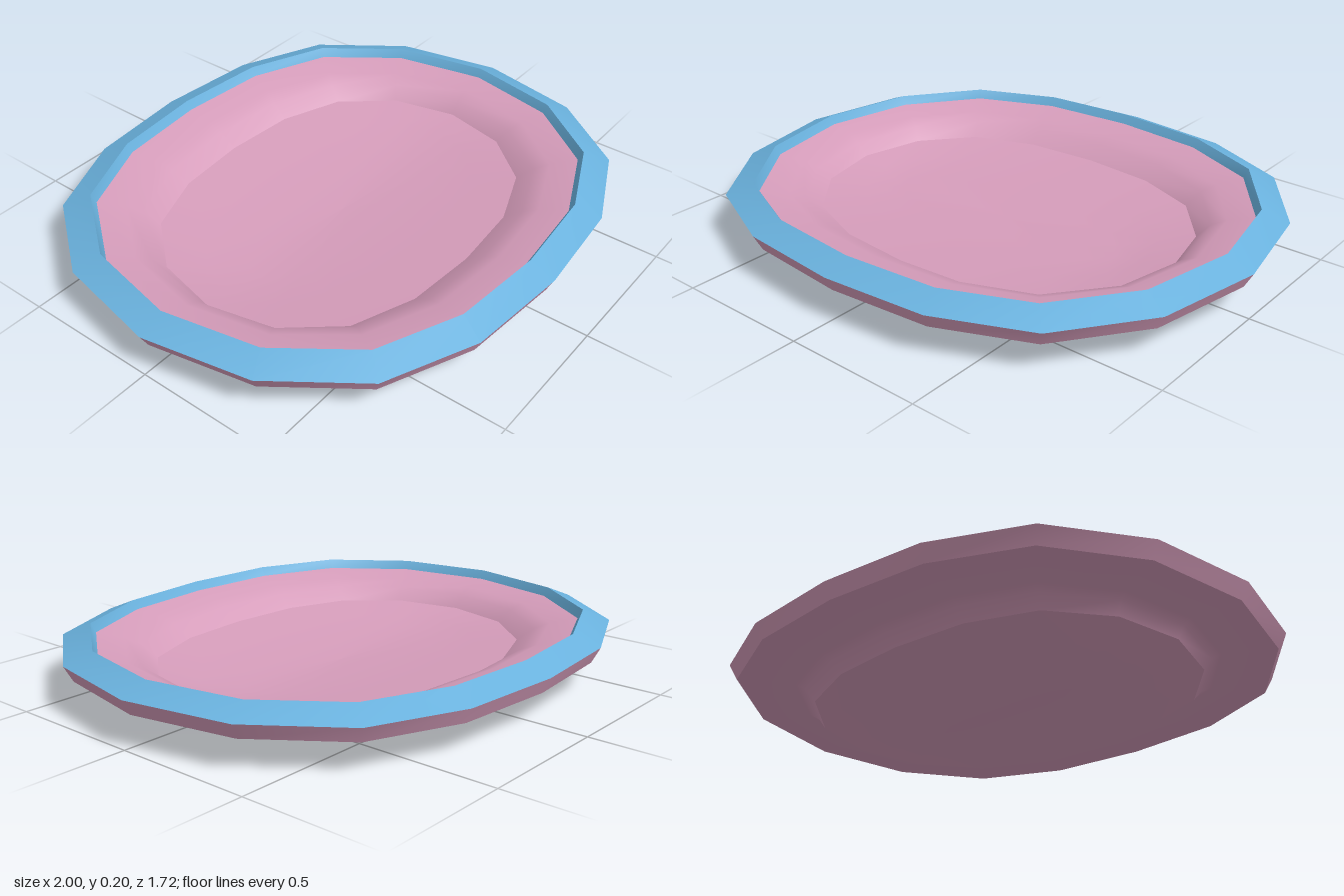
import * as THREE from 'three';

const SIDES = 16;
// z shape of one quarter of the slightly squared oval
const QUARTER = [0, 0.45, 0.795, 0.96, 1];

function ovalPoint(i) {
  const k = i % SIDES, q = k % 8;
  const z = QUARTER[q <= 4 ? q : 8 - q] * (k > 8 ? -1 : 1);
  return [Math.cos((k / SIDES) * Math.PI * 2), z];
}

// Smooth skin through oval rings [x radius, z radius, height]
function loft(rings) {
  const pos = [], idx = [];
  for (const [a, b, y] of rings) {
    for (let i = 0; i < SIDES; i++) {
      const [x, z] = ovalPoint(i);
      pos.push(a * x, y, b * z);
    }
  }
  for (let r = 0; r < rings.length - 1; r++) {
    for (let i = 0; i < SIDES; i++) {
      const j = (i + 1) % SIDES;
      const p = r * SIDES + i, q = r * SIDES + j;
      if (rings[r][0] > 0) idx.push(p, p + SIDES, q);
      if (rings[r + 1][0] > 0) idx.push(q, p + SIDES, q + SIDES);
    }
  }
  const g = new THREE.BufferGeometry();
  g.setAttribute('position', new THREE.Float32BufferAttribute(pos, 3));
  g.setIndex(idx);
  g.computeVertexNormals();
  return g;
}

export function createModel() {
  const pink = new THREE.MeshStandardMaterial({ color: 0xd69dbb });
  pink.name = 'pink glaze';
  const blue = new THREE.MeshStandardMaterial({ color: 0x6ab2de });
  blue.name = 'blue glaze';

  const plate = new THREE.Group();
  plate.name = 'plate';
  const add = (name, material, rings) => {
    const mesh = new THREE.Mesh(loft(rings), material);
    mesh.name = name;
    plate.add(mesh);
  };

  // Coloured rim: sloped top band and the short lip inside it
  add('rimBand', blue, [[1, 0.86, 0.16], [0.905, 0.768, 0.2]]);
  add('rimLip', blue, [[0.905, 0.768, 0.2], [0.89, 0.75, 0.167]]);

  // Inside: shoulder curving down to the shallow floor
  add('innerShoulder', pink, [
    [0.89, 0.75, 0.167], [0.8, 0.65, 0.148], [0.75, 0.595, 0.125], [0.71, 0.53, 0.08],
  ]);
  add('floor', pink, [
    [0.71, 0.53, 0.08], [0.6, 0.34, 0.06], [0.48, 0.15, 0.045], [0, 0, 0.04],
  ]);

  // Outside: rounded base, flange underside and outer edge
  add('base', pink, [
    [0, 0, 0], [0.5, 0.15, 0.004], [0.62, 0.35, 0.022], [0.735, 0.55, 0.048],
  ]);
  add('underside', pink, [
    [0.735, 0.55, 0.048], [0.76, 0.59, 0.09], [0.79, 0.63, 0.105], [0.97, 0.833, 0.105],
  ]);
  add('outerEdge', pink, [[0.97, 0.833, 0.105], [1, 0.86, 0.16]]);

  return plate;
}
